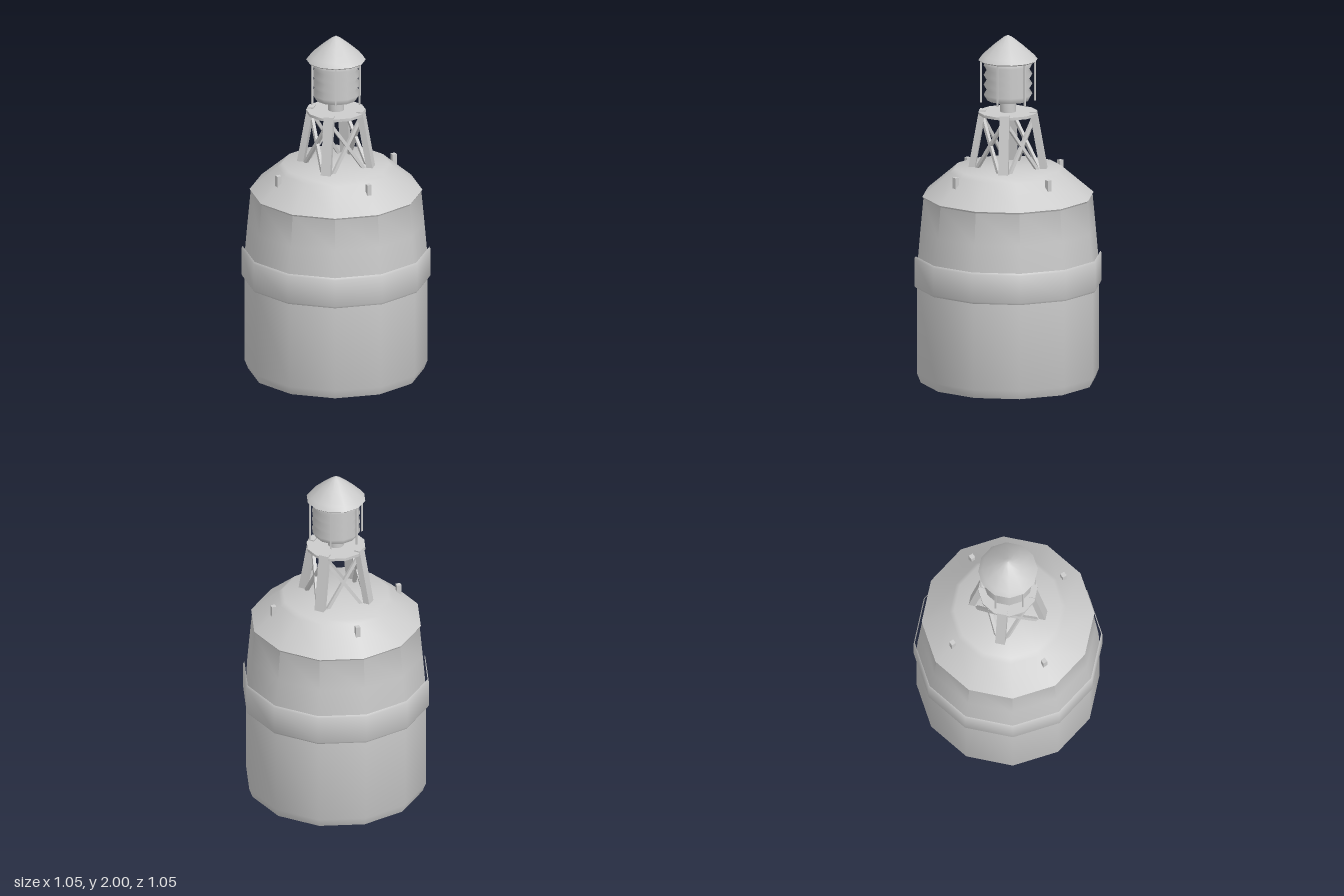
import * as THREE from 'three';
import { toCreasedNormals } from 'three/addons/utils/BufferGeometryUtils.js';

const SIDES = 12;

export function createModel() {
  const model = new THREE.Group();
  const material = new THREE.MeshStandardMaterial({ color: 0xcccccc });

  function add(name, geometry, parent = model) {
    const mesh = new THREE.Mesh(geometry, material);
    mesh.name = name;
    parent.add(mesh);
    return mesh;
  }

  // Twelve-sided turned part from [radius, height] pairs, bottom to top
  function turned(name, profile, crease = 0.75) {
    const points = profile.map(([r, y]) => new THREE.Vector2(r, y));
    return add(name, toCreasedNormals(new THREE.LatheGeometry(points, SIDES), crease));
  }

  // Square bar between two points
  function bar(name, from, to, size, parent) {
    const mesh = add(name, new THREE.BoxGeometry(size, from.distanceTo(to), size), parent);
    mesh.position.copy(from).lerp(to, 0.5);
    mesh.quaternion.setFromUnitVectors(
      new THREE.Vector3(0, 1, 0), to.clone().sub(from).normalize());
    return mesh;
  }

  // Float body with chamfered base, tapering upper wall and domed shoulder
  turned('hull', [
    [0, 0.003], [0.36, 0.006], [0.49, 0.03], [0.51, 0.08], [0.51, 0.58],
    [0.505, 0.75], [0.492, 0.9], [0.475, 1.08], [0.481, 1.09],
    [0.325, 1.223], [0.3, 1.245], [0, 1.245],
  ]);

  // Fender band, open along its upper inner edge
  turned('fenderBand', [
    [0.51, 0.572], [0.52, 0.574], [0.526, 0.585], [0.526, 0.74], [0.519, 0.752],
  ]);

  // Lifting posts on the shoulder
  for (let i = 0; i < 4; i++) {
    const a = i * Math.PI / 2;
    const post = add('liftingPost', new THREE.BoxGeometry(0.026, 0.075, 0.026));
    post.position.set(0.368 * Math.cos(a), 1.198, 0.368 * Math.sin(a));
  }

  // Tower: leaning legs on the diagonals, crossed braces on each face
  const tower = new THREE.Group();
  tower.name = 'tower';
  model.add(tower);
  for (let i = 0; i < 4; i++) {
    const legGeometry = new THREE.BoxGeometry(0.036, 0.335, 0.055);
    const p = legGeometry.attributes.position;
    for (let v = 0; v < p.count; v++) p.setX(v, p.getX(v) + 0.172 - 0.18 * p.getY(v));
    legGeometry.computeVertexNormals();
    const leg = add('towerLeg', legGeometry, tower);
    leg.position.y = 1.4025;
    leg.rotation.y = Math.PI / 4 + i * Math.PI / 2;

    const face = new THREE.Group();
    face.name = 'crossBraces';
    face.rotation.y = i * Math.PI / 2;
    tower.add(face);
    for (const s of [-1, 1]) {
      bar('brace', new THREE.Vector3(s * 0.105, 1.23, 0.142),
        new THREE.Vector3(-s * 0.092, 1.52, 0.105), 0.018, face);
    }
  }

  // Platform and neck
  turned('platform', [[0, 1.547], [0.166, 1.547], [0.166, 1.563], [0, 1.563]]);
  turned('neck', [[0.045, 1.555], [0.045, 1.635]]);

  // Lantern with ribbed wall
  const ribs = [[0, 1.63], [0.118, 1.63]];
  for (let i = 0; i < 4; i++) {
    const y = 1.635 + i * 0.056;
    ribs.push([0.12, y], [0.137, y + 0.028]);
  }
  ribs.push([0.12, 1.859], [0, 1.865]);
  turned('lantern', ribs, 1.2);

  // Guard rods around the lantern
  for (let i = 0; i < 6; i++) {
    const a = i * Math.PI / 3;
    const rod = add('guardRod', new THREE.BoxGeometry(0.009, 0.245, 0.009));
    rod.position.set(0.152 * Math.cos(a), 1.7425, 0.152 * Math.sin(a));
    rod.rotation.y = -a;
  }

  // Pointed roof with a thin rim
  turned('roof', [
    [0, 1.857], [0.158, 1.853], [0.166, 1.86], [0.145, 1.885],
    [0.08, 1.943], [0.025, 1.987], [0, 2],
  ]);

  return model;
}
